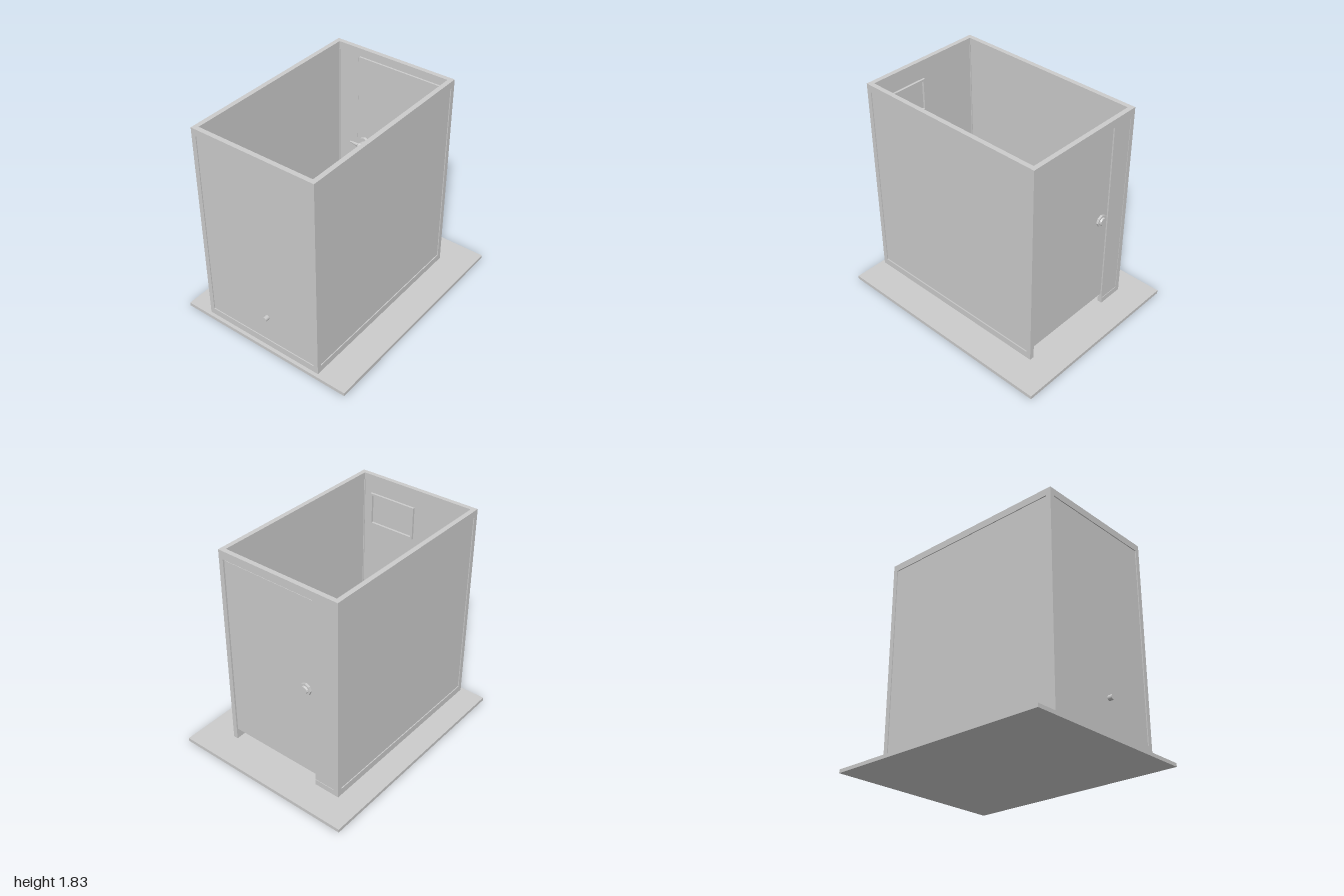
import * as THREE from 'three';

const grey = new THREE.MeshStandardMaterial({ color: 0xcccccc, flatShading: true });
const smooth = new THREE.MeshStandardMaterial({ color: 0xcccccc });
const open = new THREE.MeshStandardMaterial({ color: 0xcccccc, flatShading: true, side: THREE.DoubleSide });
const paper = new THREE.MeshStandardMaterial({ color: 0x8f8d80 });

const V = (x, y, z) => new THREE.Vector3(x, y, z);

function add(parent, name, geometry, material = grey) {
  const mesh = new THREE.Mesh(geometry, material);
  mesh.name = name;
  parent.add(mesh);
  return mesh;
}

// Box given by its limits on each axis
function box(parent, name, x0, x1, y0, y1, z0, z1) {
  const mesh = add(parent, name, new THREE.BoxGeometry(x1 - x0, y1 - y0, z1 - z0));
  mesh.position.set((x0 + x1) / 2, (y0 + y1) / 2, (z0 + z1) / 2);
  return mesh;
}

// Round bar between two points
function rod(parent, name, a, b, r, r2 = r, sides = 14, material = smooth) {
  const mesh = add(parent, name, new THREE.CylinderGeometry(r2, r, a.distanceTo(b), sides), material);
  mesh.position.copy(a).add(b).multiplyScalar(0.5);
  mesh.quaternion.setFromUnitVectors(V(0, 1, 0), b.clone().sub(a).normalize());
  return mesh;
}

// Outline with a square back and a rounded front, as [x, z] pairs
function bowlOutline(half, zFront, zBack, zMid) {
  const pts = [[half, zBack], [-half, zBack]];
  for (let i = 0; i <= 8; i++) {
    const t = Math.PI * (1 + i / 8);
    pts.push([half * Math.cos(t), zMid + (zMid - zFront) * Math.sin(t)]);
  }
  return pts;
}

// Skin over a stack of outlines
function loft(rings) {
  const n = rings[0].pts.length, pos = [], idx = [];
  rings.forEach(({ pts, y }) => pts.forEach(([x, z]) => pos.push(x, y, z)));
  for (let j = 0; j < rings.length - 1; j++) {
    for (let i = 0; i < n; i++) {
      const a = j * n + i, b = j * n + (i + 1) % n;
      idx.push(a, a + n, b, b, a + n, b + n);
    }
  }
  const g = new THREE.BufferGeometry();
  g.setAttribute('position', new THREE.Float32BufferAttribute(pos, 3));
  g.setIndex(idx);
  g.computeVertexNormals();
  return g;
}

const toShape = pts => new THREE.Shape(pts.map(([x, y]) => new THREE.Vector2(x, y)));
// Flat plan shape with its top at y = 0
const slab = (shape, depth) =>
  new THREE.ExtrudeGeometry(shape, { depth, bevelEnabled: false }).rotateX(Math.PI / 2);

const FLOOR = 0.03, TOP = 1.825;
const X0 = -0.59, X1 = 0.53, Z0 = -0.745, Z1 = 0.97, T = 0.04, IN = 0.008;

function buildWalls(root) {
  const walls = new THREE.Group();
  walls.name = 'walls';
  root.add(walls);
  for (const x of [X0, X1 - T]) {
    for (const z of [Z0, Z1 - T]) box(walls, 'cornerPost', x, x + T, FLOOR, TOP, z, z + T);
    box(walls, 'sideTopRail', x, x + T, TOP - 0.06, TOP, Z0 + T, Z1 - T);
    box(walls, 'sideBottomRail', x, x + T, FLOOR, FLOOR + 0.06, Z0 + T, Z1 - T);
    box(walls, 'sidePanel', x + IN, x + T - IN, FLOOR + 0.06, TOP - 0.06, Z0 + T, Z1 - T);
  }
  // Front wall
  box(walls, 'frontTopRail', X0 + T, X1 - T, TOP - 0.06, TOP, Z1 - T, Z1);
  box(walls, 'frontBottomRail', X0 + T, X1 - T, FLOOR, FLOOR + 0.06, Z1 - T, Z1);
  box(walls, 'frontPanel', X0 + T, X1 - T, FLOOR + 0.06, TOP - 0.06, Z1 - T + IN, Z1 - IN);
  // Back wall beside the door
  box(walls, 'doorHeader', X0 + T, X1 - T, TOP - 0.07, TOP, Z0, Z0 + T);
  box(walls, 'backPanel', X0 + T, -0.36, FLOOR + 0.05, TOP - 0.07, Z0 + 0.004, Z0 + T - IN);
  box(walls, 'backPanelSill', X0 + T, -0.36, FLOOR, FLOOR + 0.05, Z0, Z0 + T);

  // Picture frame on the inside of the front wall
  const frame = new THREE.Group();
  frame.name = 'wallFrame';
  root.add(frame);
  const a = -0.02, b = 0.42, c = 1.37, d = 1.66, w = 0.018, zf = Z1 - T - 0.012, zb = Z1 - T + IN;
  for (const x of [a, b - w]) box(frame, 'frameSide', x, x + w, c, d, zf, zb);
  for (const y of [c, d - w]) box(frame, 'frameBar', a + w, b - w, y, y + w, zf, zb);
}

function buildDoor(root) {
  const door = new THREE.Group();
  door.name = 'door';
  root.add(door);
  box(door, 'doorLeaf', -0.358, X1 - T, 0.125, TOP - 0.085, Z0 + 0.014, Z0 + T - 0.006);
  const x = -0.28, y = 0.94;
  const along = (name, z0, z1, r, r2, sides, m) => rod(door, name, V(x, y, z0), V(x, y, z1), r, r2, sides, m);
  along('outerPlate', Z0 + 0.016, Z0 - 0.004, 0.052, 0.052, 8, grey);
  along('outerKnob', Z0, Z0 - 0.018, 0.036, 0.03, 12, grey);
  along('innerPlate', Z0 + 0.03, Z0 + 0.056, 0.052, 0.048, 8, grey);
  along('handleStem', Z0 + 0.05, Z0 + 0.11, 0.02, 0.024, 10, grey);
  const hub = add(door, 'handleHub', new THREE.SphereGeometry(0.028, 10, 8), grey);
  hub.position.set(x, y, Z0 + 0.108);
  rod(door, 'handleLever', V(x, y, Z0 + 0.105), V(-0.385, y, Z0 + 0.1), 0.018, 0.008, 8, grey);
}

function buildToilet(root) {
  const toilet = new THREE.Group();
  toilet.name = 'toilet';
  toilet.position.x = -0.155;
  root.add(toilet);
  const ring = (y, ...o) => ({ y, pts: bowlOutline(...o) });
  // Pedestal, rim and inside of the bowl in one skin
  add(toilet, 'bowl', loft([
    ring(FLOOR, 0.13, 0.2, 0.56, 0.34), ring(0.07, 0.12, 0.21, 0.56, 0.34),
    ring(0.18, 0.13, 0.18, 0.56, 0.33), ring(0.3, 0.2, 0.09, 0.56, 0.28),
    ring(0.37, 0.212, 0.075, 0.56, 0.27), ring(0.37, 0.15, 0.15, 0.46, 0.29),
    ring(0.3, 0.135, 0.17, 0.455, 0.3), ring(0.2, 0.1, 0.25, 0.45, 0.36),
    ring(0.15, 0.06, 0.33, 0.44, 0.39), ring(0.1, 0.055, 0.34, 0.44, 0.39),
  ]), open);
  add(toilet, 'bowlBottom', slab(toShape(bowlOutline(0.056, 0.34, 0.44, 0.39)), 0.01)).position.y = 0.11;
  const seat = toShape(bowlOutline(0.215, 0.07, 0.53, 0.27));
  seat.holes.push(new THREE.Path(toShape(bowlOutline(0.145, 0.155, 0.46, 0.29)).getPoints().reverse()));
  add(toilet, 'seat', slab(seat, 0.025)).position.y = 0.397;
  // Raised lid leaning on the tank
  const lid = bowlOutline(0.215, 0.07, 0.53, 0.27).map(([x, z]) => [x, 0.53 - z]);
  add(toilet, 'lid', new THREE.ExtrudeGeometry(toShape(lid), { depth: 0.022, bevelEnabled: false }))
    .position.set(0, 0.4, 0.532);
  for (const s of [-1, 1])
    rod(toilet, 'hinge', V(s * 0.09 - 0.03, 0.4, 0.54), V(s * 0.09 + 0.03, 0.4, 0.54), 0.015, 0.015, 8);
  // Tank with chamfered front corners
  const tank = w => toShape([[w, 0.84], [-w, 0.84], [-w, 0.645], [-w + 0.03, 0.585], [-w + 0.075, 0.56],
    [w - 0.075, 0.56], [w - 0.03, 0.585], [w, 0.645]]);
  add(toilet, 'tank', slab(tank(0.27), 0.36)).position.y = 0.73;
  add(toilet, 'tankCover', slab(tank(0.287), 0.04)).position.y = 0.77;
  rod(toilet, 'flushPivot', V(0.2, 0.67, 0.57), V(0.2, 0.67, 0.545), 0.016);
  rod(toilet, 'flushLever', V(0.19, 0.67, 0.553), V(0.27, 0.66, 0.56), 0.01, 0.008, 8);
}

function buildPipes(root) {
  const pipes = new THREE.Group();
  pipes.name = 'waterPipes';
  root.add(pipes);
  rod(pipes, 'mainPipe', V(-0.55, 0.33, 0.868), V(0.14, 0.33, 0.868), 0.018);
  rod(pipes, 'outletPipe', V(0.03, 0.33, 0.868), V(0.03, 0.33, 1), 0.021);
  rod(pipes, 'wallPipe', V(-0.49, 0.33, 0.86), V(-0.49, 0.33, 0.94), 0.02);
  for (const x of [-0.49, 0.03])
    rod(pipes, 'coupling', V(x - 0.03, 0.33, 0.868), V(x + 0.03, 0.33, 0.868), 0.024);
}

function buildFittings(root) {
  // Open waste bin
  const profile = [[0, 0.04], [0, 0.03], [0.1, 0.03], [0.128, 0.38], [0.132, 0.39], [0.122, 0.39], [0.096, 0.045], [0, 0.045]];
  const bin = add(root, 'wasteBin',
    new THREE.LatheGeometry(profile.slice(1).map(p => new THREE.Vector2(...p)), 28), open);
  bin.position.set(0.27, 0, 0.58);
  rod(root, 'floorDisc', V(0.23, FLOOR, 0.465), V(0.23, FLOOR + 0.012, 0.465), 0.064, 0.064, 24);

  // Paper roll on a wall bracket
  const holder = new THREE.Group();
  holder.name = 'paperHolder';
  root.add(holder);
  const y = 0.62;
  rod(holder, 'paperRoll', V(0.415, y, 0.46), V(0.415, y, 0.615), 0.032, 0.032, 20, paper);
  rod(holder, 'rollBar', V(0.415, y, 0.445), V(0.415, y, 0.63), 0.008);
  rod(holder, 'bracketArm', V(0.415, y, 0.448), V(0.465, y, 0.448), 0.008);
  rod(holder, 'bracketSide', V(0.462, y, 0.448), V(0.462, y, 0.54), 0.008);
  rod(holder, 'bracketMount', V(0.455, y, 0.535), V(0.49, y, 0.535), 0.012);
  rod(holder, 'wallPlate', V(0.478, y, 0.535), V(0.49, y, 0.535), 0.032);

  // Loose things on the floor
  const h = FLOOR + 0.01;
  rod(root, 'floorStick', V(0.295, h, -0.035), V(0.365, h, -0.16), 0.01, 0.01, 6, grey);
  rod(root, 'floorStickTip', V(0.365, h, -0.16), V(0.375, h, -0.18), 0.01, 0.002, 6, grey);
  rod(root, 'floorTube', V(-0.42, FLOOR + 0.018, 0.235), V(-0.34, FLOOR + 0.018, 0.18), 0.018, 0.018, 10);
  rod(root, 'floorScrap', V(-0.485, h, 0.295), V(-0.475, h, 0.33), 0.005, 0.005, 6);
  rod(root, 'floorScrap', V(-0.44, h, 0.385), V(-0.43, h, 0.36), 0.005, 0.005, 6);
}

export function createModel() {
  const root = new THREE.Group();
  root.name = 'toiletCubicle';
  box(root, 'floor', -0.805, 0.805, 0, FLOOR, -1, 1);
  buildWalls(root);
  buildDoor(root);
  buildToilet(root);
  buildPipes(root);
  buildFittings(root);
  return root;
}
